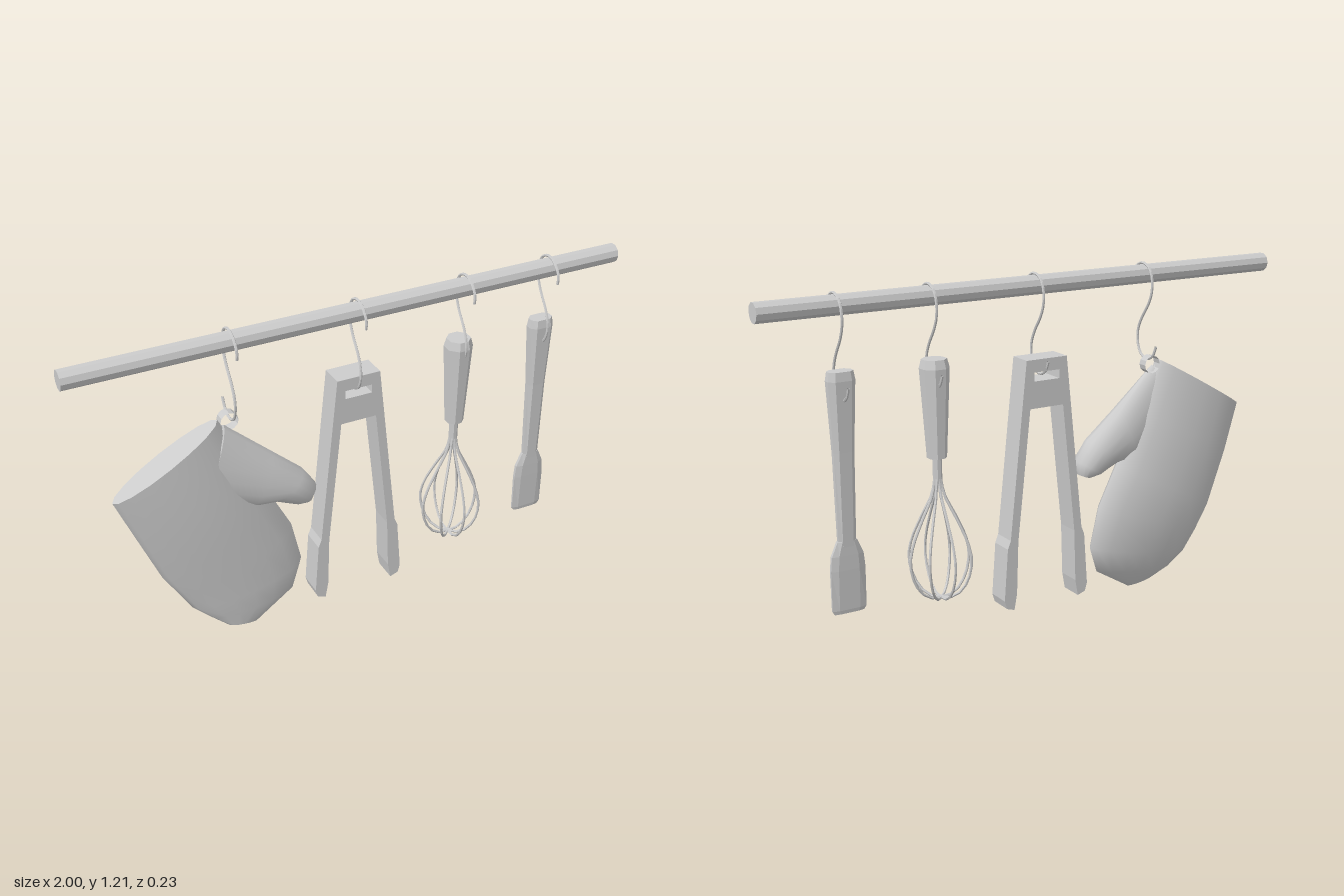
import * as THREE from 'three';

const flat = new THREE.MeshStandardMaterial({ color: 0xcccccc, flatShading: true, side: THREE.DoubleSide });
const smooth = new THREE.MeshStandardMaterial({ color: 0xcccccc });

const part = (parent, name, geometry, material = flat) => {
  const mesh = new THREE.Mesh(geometry, material);
  mesh.name = name;
  parent.add(mesh);
  return mesh;
};

// unit outlines for cross-sections, counted from +x towards +z
const oval = Array.from({ length: 16 }, (_, i) => [Math.cos(i * Math.PI / 8), Math.sin(i * Math.PI / 8)]);
const chamfered = [[1, -0.4], [1, 0.4], [0.6, 1], [-0.6, 1], [-1, 0.4], [-1, -0.4], [-0.6, -1], [0.6, -1]];

// skins sections [leftX, leftY, rightX, rightY, backZ, frontZ], from top to bottom, with capped ends
function loft(sections, outline) {
  const pos = [], index = [], n = outline.length;
  const ring = ([lx, ly, rx, ry, b, f]) => {
    const first = pos.length / 3;
    for (const [u, v] of outline)
      pos.push((lx + rx) / 2 + u * (rx - lx) / 2, (ly + ry) / 2 + u * (ry - ly) / 2, (b + f) / 2 + v * (f - b) / 2);
    return first;
  };
  const starts = sections.map(ring);
  for (let i = 0; i < starts.length - 1; i++)
    for (let j = 0; j < n; j++) {
      const a = starts[i] + j, b = starts[i] + (j + 1) % n, c = starts[i + 1] + j, d = starts[i + 1] + (j + 1) % n;
      index.push(a, b, c, b, d, c);
    }
  const top = ring(sections[0]), bottom = ring(sections[sections.length - 1]);
  for (let j = 1; j < n - 1; j++) {
    index.push(top, top + j + 1, top + j);
    index.push(bottom, bottom + j, bottom + j + 1);
  }
  const g = new THREE.BufferGeometry();
  g.setAttribute('position', new THREE.Float32BufferAttribute(pos, 3));
  g.setIndex(index);
  g.computeVertexNormals();
  return g;
}

// S-shaped hook lying in the y-z plane
function makeHook(x) {
  const path = [[1.13, 0.098], [1.16, 0.1], [1.195, 0.075], [1.21, 0.04], [1.195, 0], [1.16, -0.018], [1.11, -0.018],
    [1.067, 0], [1.01, 0.04], [0.965, 0.06], [0.92, 0.06], [0.882, 0.04], [0.868, 0], [0.888, -0.035], [0.92, -0.05]]
    .map(([y, z]) => new THREE.Vector3(x, y, z));
  return new THREE.TubeGeometry(new THREE.CatmullRomCurve3(path), 36, 0.005, 6);
}

function makeMitt() {
  const mitt = new THREE.Group();
  mitt.name = 'ovenMitt';
  part(mitt, 'mittBody', loft([
    [-0.866, 0.652, -0.49, 0.866, -0.06, 0.05],
    [-0.797, 0.48, -0.395, 0.69, -0.095, 0.06],
    [-0.717, 0.283, -0.305, 0.5, -0.105, 0.055],
    [-0.665, 0.195, -0.23, 0.353, -0.1, 0.048],
    [-0.62, 0.12, -0.198, 0.2, -0.082, 0.044],
    [-0.56, 0.065, -0.235, 0.1, -0.055, 0.038],
    [-0.5, 0.02, -0.39, 0.005, 0, 0.026],
  ], oval), smooth);
  part(mitt, 'mittThumb', loft([
    [-0.56, 0.58, -0.47, 0.845, -0.04, 0.04],
    [-0.39, 0.5, -0.305, 0.695, -0.065, 0.06],
    [-0.315, 0.503, -0.198, 0.6, -0.06, 0.066],
    [-0.245, 0.472, -0.15, 0.53, -0.053, 0.062],
    [-0.205, 0.464, -0.162, 0.478, -0.025, 0.035],
  ], oval), smooth);
  // hanging loop
  const loop = part(mitt, 'mittLoop', new THREE.CylinderGeometry(0.032, 0.032, 0.035, 12, 1, true), flat);
  loop.rotation.x = Math.PI / 2;
  loop.position.set(-0.45, 0.853, -0.015);
  return mitt;
}

function makeTongs() {
  const half = [[0.08, 0.93], [0.098, 0.76], [0.146, 0.3], [0.158, 0.27], [0.172, 0.08], [0.163, 0.05], [0.133, 0.04],
    [0.122, 0.1], [0.116, 0.29], [0.066, 0.76]];
  const outline = [...half, ...half.map(([x, y]) => [-x, y]).reverse()].map(([x, y]) => new THREE.Vector2(x, y));
  const shape = new THREE.Shape(outline);
  const slot = [[-0.05, 0.855], [-0.05, 0.886], [0.05, 0.886], [0.05, 0.855]];
  shape.holes.push(new THREE.Path(slot.map(([x, y]) => new THREE.Vector2(x, y))));
  const g = new THREE.ExtrudeGeometry(shape, { depth: 0.088, bevelEnabled: false });
  return g.translate(0, 0, -0.041);
}

function makeWhisk() {
  const whisk = new THREE.Group();
  whisk.name = 'whisk';
  const profile = [[0, 0.535], [0.016, 0.535], [0.016, 0.63], [0.034, 0.63], [0.051, 0.935], [0.043, 0.965], [0, 0.965]];
  part(whisk, 'whiskHandle', new THREE.LatheGeometry(profile.map(([r, y]) => new THREE.Vector2(r, y)), 8, Math.PI / 8));
  // four crossing wire loops
  const side = [[0.01, 0.56], [0.022, 0.5], [0.062, 0.42], [0.1, 0.335], [0.112, 0.27], [0.092, 0.19], [0.05, 0.142]];
  const wire = [...side, [0, 0.133], ...side.map(([x, y]) => [-x, y]).reverse()].map(([x, y]) => new THREE.Vector3(x, y, 0));
  const wireGeometry = new THREE.TubeGeometry(new THREE.CatmullRomCurve3(wire), 28, 0.005, 6);
  for (let i = 0; i < 4; i++) part(whisk, 'whiskWire', wireGeometry).rotation.y = i * Math.PI / 4;
  whisk.rotation.x = 0.02;
  whisk.position.set(0.4, 0, -0.003);
  return whisk;
}

// sections [y, half width, half depth] centred on the spatula axis
function makeSpatulaPart(rows) {
  return loft(rows.map(([y, w, d]) => [0.735 - w, y, 0.735 + w, y, 0.013 - d, 0.013 + d]), chamfered);
}

export function createModel() {
  const model = new THREE.Group();
  model.name = 'utensilRail';

  const rail = part(model, 'rail', new THREE.CylinderGeometry(0.034, 0.034, 2, 10));
  rail.rotation.z = Math.PI / 2;
  rail.position.set(0, 1.17, 0.04);

  for (const x of [-0.45, 0, 0.405, 0.735]) part(model, 'hook', makeHook(x));

  model.add(makeMitt());
  part(model, 'tongs', makeTongs());
  model.add(makeWhisk());

  const spatula = new THREE.Group();
  spatula.name = 'spatula';
  part(spatula, 'spatulaHandle', makeSpatulaPart([[0.965, 0.042, 0.026], [0.935, 0.047, 0.03], [0.7, 0.036, 0.021], [0.38, 0.031, 0.014]]));
  part(spatula, 'spatulaBlade', makeSpatulaPart([[0.4, 0.034, 0.014], [0.35, 0.056, 0.014], [0.3, 0.061, 0.013], [0.16, 0.061, 0.008], [0.147, 0.052, 0.006]]));
  model.add(spatula);

  return model;
}
